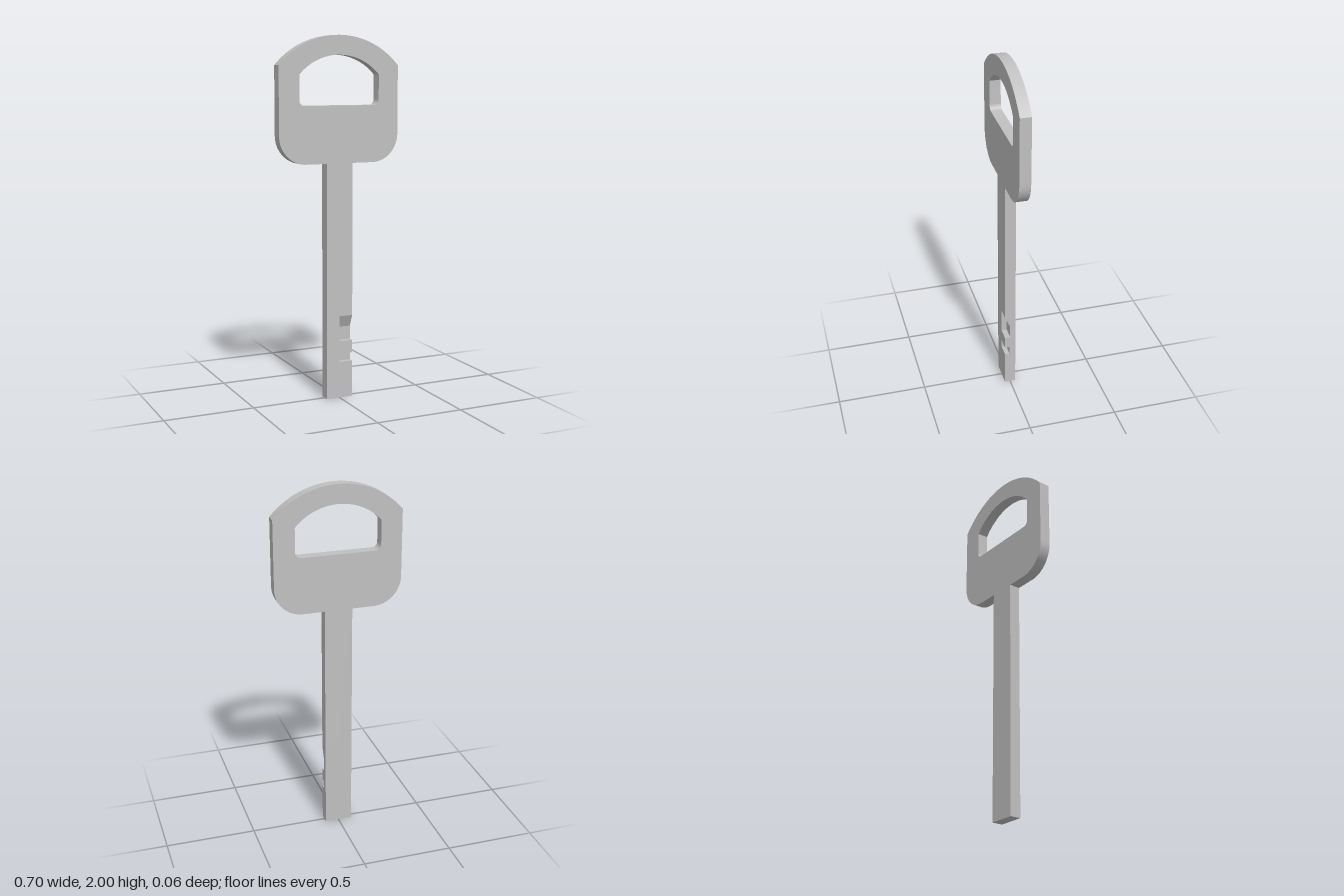
import * as THREE from 'three';
import { toCreasedNormals } from 'three/addons/utils/BufferGeometryUtils.js';

const T = 0.031;   // half thickness
const W = 0.077;   // half width of the shank
const BIT = 0.5;   // height of the notched section

// Arc through (0, top) and (+-x, side), swept right to left
function crown(path, x, side, top) {
  const rise = top - side;
  const r = (x * x + rise * rise) / (2 * rise);
  const a = Math.asin((r - rise) / r);
  path.absarc(0, top - r, r, a, Math.PI - a, false);
}

// Rounded lower corner; s = 1 for the +x side, -1 for the -x side
function corner(path, x, y, r, s) {
  const start = s > 0 ? -Math.PI / 2 : Math.PI;
  path.absarc(s * (x - r), y + r, r, start, start + Math.PI / 2, false);
}

export function createModel() {
  const group = new THREE.Group();
  const metal = new THREE.MeshStandardMaterial({ color: 0xc0c0c0 });

  // Head and shank outline, leaving out the notched half of the tip
  const outline = new THREE.Shape();
  outline.moveTo(-W, 0);
  outline.lineTo(0, 0);
  outline.lineTo(0, BIT);
  outline.lineTo(W, BIT);
  outline.lineTo(W, 1.313);
  corner(outline, 0.352, 1.313, 0.155, 1);
  crown(outline, 0.352, 1.84, 2);
  corner(outline, 0.352, 1.313, 0.155, -1);
  outline.lineTo(-W, 1.313);
  outline.closePath();

  // Opening in the head
  const opening = new THREE.Path();
  corner(opening, 0.235, 1.625, 0.03, 1);
  crown(opening, 0.235, 1.79, 1.895);
  corner(opening, 0.235, 1.625, 0.03, -1);
  opening.closePath();
  outline.holes.push(opening);

  const bladeGeometry = new THREE.ExtrudeGeometry(outline, { depth: 2 * T, bevelEnabled: false, curveSegments: 14 });
  bladeGeometry.translate(0, 0, -T);
  const blade = new THREE.Mesh(toCreasedNormals(bladeGeometry, 0.6), metal);
  blade.name = 'headAndShank';
  group.add(blade);

  // Notched half of the tip: side profile as [z, y], with a slot and a ramped cut
  const profile = [
    [-T, 0], [T, 0], [T, 0.205], [0.004, 0.205], [0.004, 0.252], [T, 0.252],
    [T, 0.323], [0, 0.323], [0, 0.398], [T, 0.465], [T, BIT], [-T, BIT],
  ];
  const side = new THREE.Shape(profile.map(([z, y]) => new THREE.Vector2(-z, y)));
  const bitGeometry = new THREE.ExtrudeGeometry(side, { depth: W, bevelEnabled: false });
  bitGeometry.rotateY(Math.PI / 2);
  const bit = new THREE.Mesh(bitGeometry, metal);
  bit.name = 'notchedTip';
  group.add(bit);

  return group;
}
